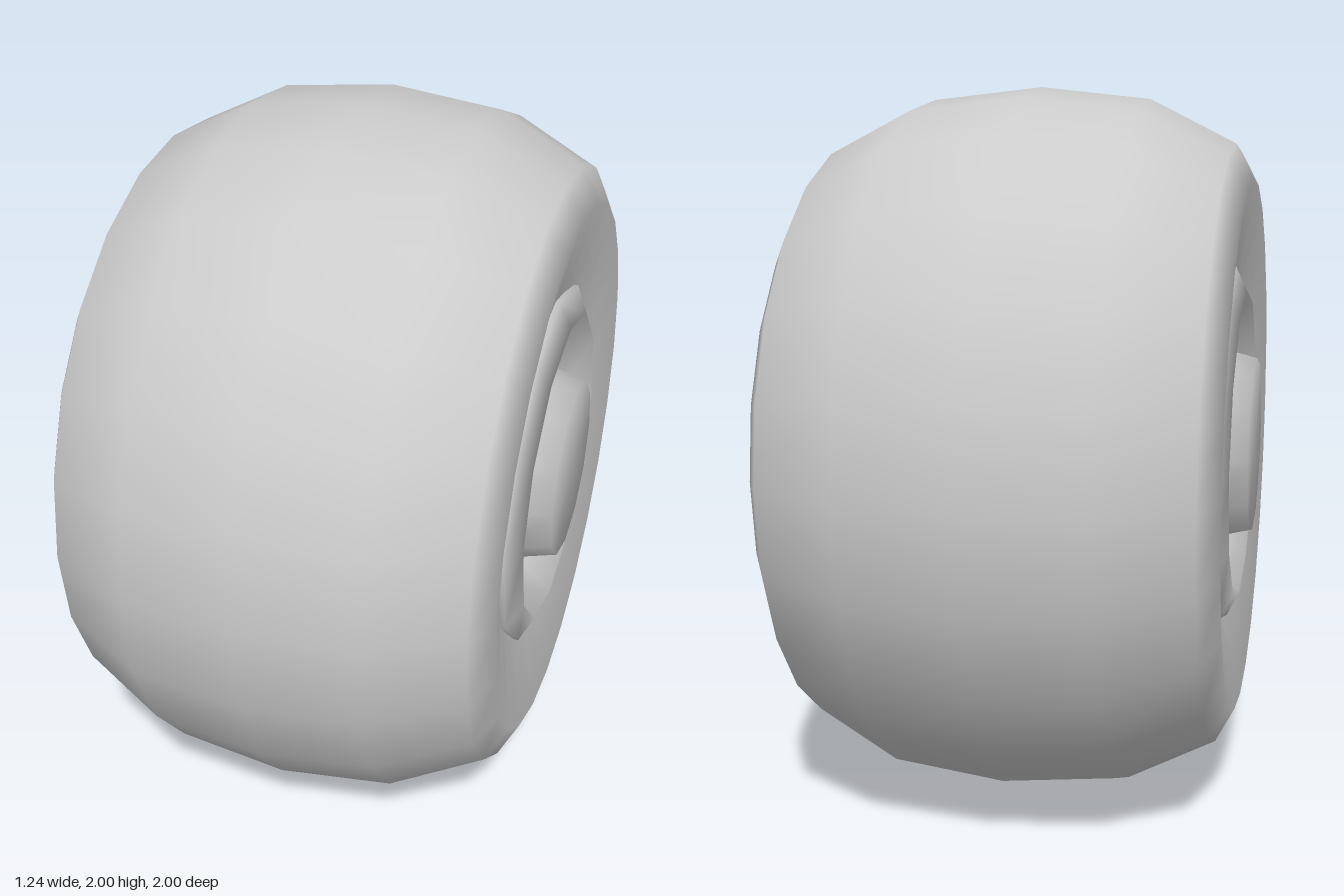
import * as THREE from 'three';

const grey = new THREE.MeshStandardMaterial({ color: 0xcccccc, side: THREE.DoubleSide });

// Smooth turned part; profile is [radius, distance along axle]
function turned(name, profile, sides) {
  const points = profile.map(([r, d]) => new THREE.Vector2(r, d));
  const mesh = new THREE.Mesh(new THREE.LatheGeometry(points, sides), grey);
  mesh.name = name;
  return mesh;
}

export function createModel() {
  const wheel = new THREE.Group();
  wheel.name = 'wheel';

  // Tyre: rounded tread, bevelled shoulders and dished sidewalls
  const half = [[1, 0], [0.966, 0.31], [0.845, 0.55], [0.75, 0.6], [0.48, 0.535]];
  const otherHalf = half.slice(1).reverse().map(([r, d]) => [r, -d]);
  const tyre = turned('tyre', [...otherHalf, ...half], 24);
  tyre.rotation.z = -Math.PI / 2;
  wheel.add(tyre);

  // Rim, recessed plate and domed-looking hub cap on each side
  for (const side of [1, -1]) {
    const face = new THREE.Group();
    face.name = side > 0 ? 'leftWheelFace' : 'rightWheelFace';
    face.add(
      turned('rimLip', [[0.512, 0.53], [0.512, 0.555], [0.44, 0.59], [0.368, 0.5]], 12),
      turned('rimPlate', [[0.368, 0.5], [0, 0.5]], 12),
      turned('hubCap', [[0.283, 0.49], [0.25, 0.622], [0, 0.622]], 12)
    );
    face.rotation.z = -side * Math.PI / 2;
    wheel.add(face);
  }

  wheel.position.y = 1;
  const model = new THREE.Group();
  model.add(wheel);
  return model;
}
